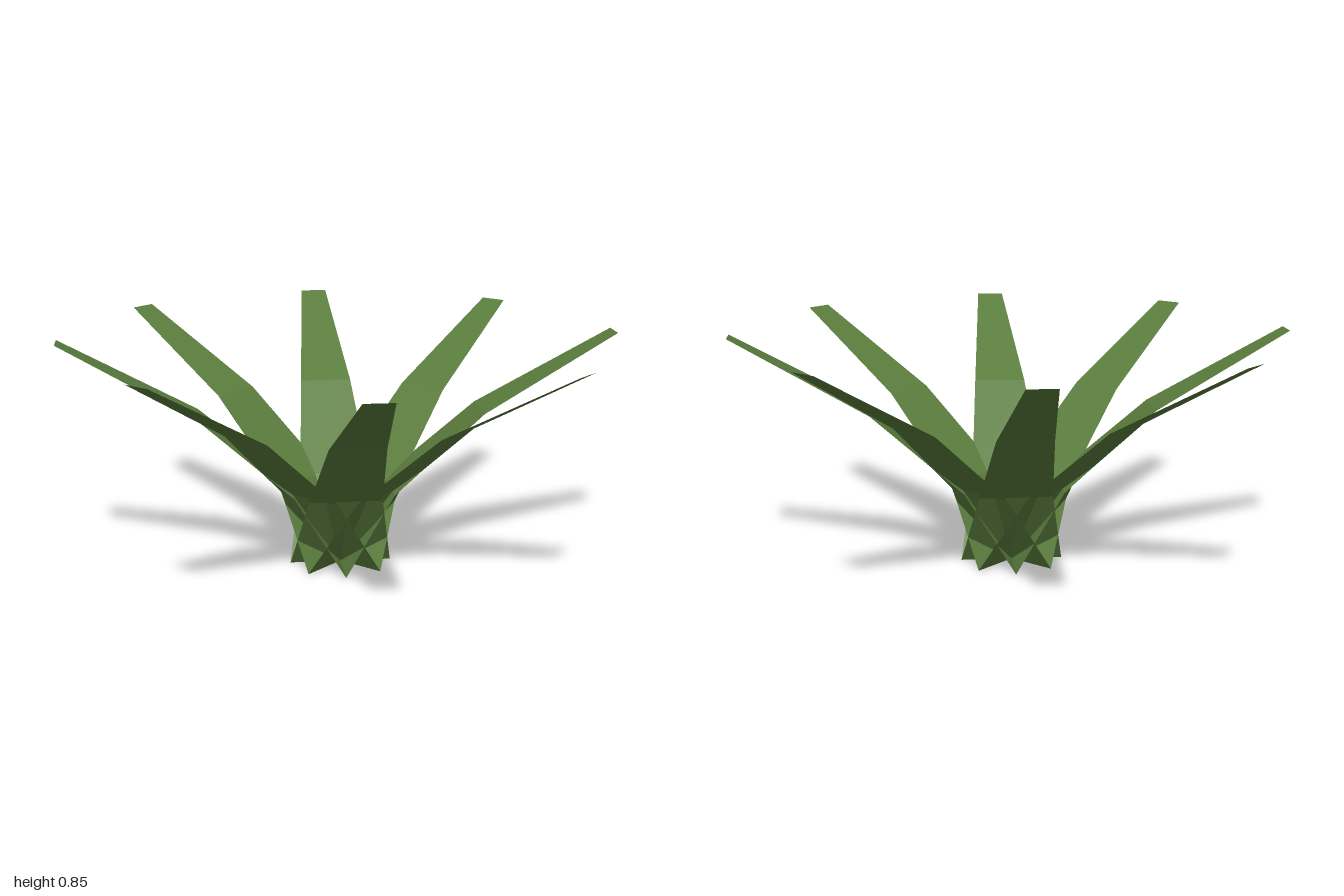
import * as THREE from 'three';

const LEAVES = 8;

// Leaf sections from tip to root: distance from the centre, height, half width
const SECTIONS = [
  [1.0, 0.845, 0.05],
  [0.51, 0.57, 0.097],
  [0.18, 0.285, 0.131],
  [0, 0, 0.185],
];

// One bent strip, wide at the root and narrow at the tip, reaching toward +z
function leafGeometry() {
  const plane = new THREE.PlaneGeometry(2, 1, 1, SECTIONS.length - 1);
  const pos = plane.attributes.position;
  for (let i = 0; i < pos.count; i++) {
    const [reach, height, halfWidth] = SECTIONS[Math.floor(i / 2)];
    // Mirrored in x so the upper, inner side is the front face
    pos.setXYZ(i, -pos.getX(i) * halfWidth, height, reach);
  }
  const geometry = plane.toNonIndexed();
  geometry.computeVertexNormals();
  return geometry;
}

export function createModel() {
  const plant = new THREE.Group();
  plant.name = 'plant';

  const leafGreen = new THREE.MeshStandardMaterial({
    color: 0x5a7c3d,
    flatShading: true,
    side: THREE.DoubleSide,
  });
  leafGreen.name = 'leafGreen';

  // Ring of leaves whose roots cross at the centre
  const geometry = leafGeometry();
  for (let i = 0; i < LEAVES; i++) {
    const leaf = new THREE.Mesh(geometry, leafGreen);
    leaf.name = `leaf${i + 1}`;
    leaf.rotation.y = (i / LEAVES) * Math.PI * 2;
    plant.add(leaf);
  }
  return plant;
}
